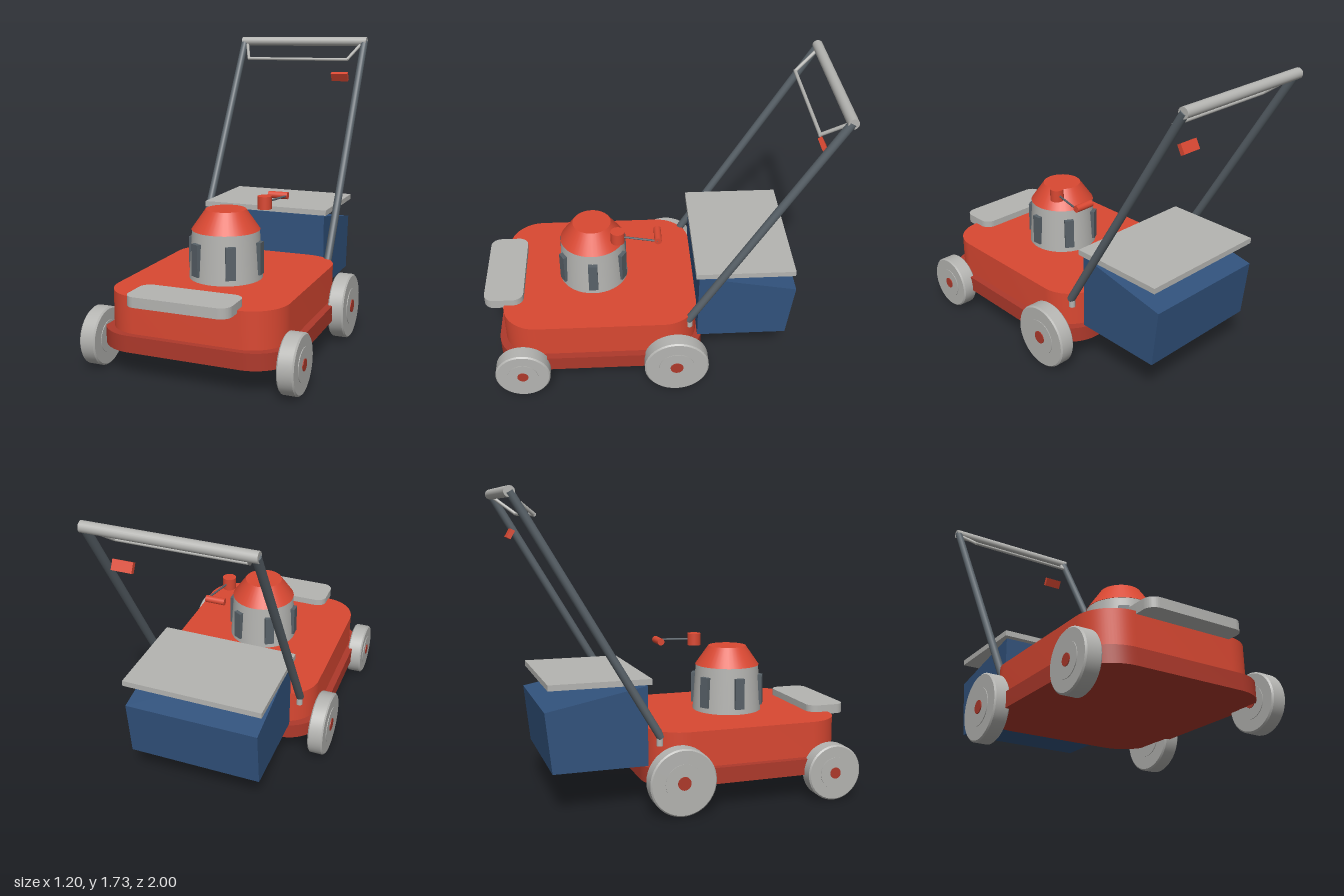
import * as THREE from 'three';
import { toCreasedNormals } from 'three/addons/utils/BufferGeometryUtils.js';

const mat = (name, color) => {
  const m = new THREE.MeshStandardMaterial({ color });
  m.name = name;
  return m;
};

export function createModel() {
  const red = mat('red paint', 0xd94832);
  const darkRed = mat('dark red paint', 0xae392b);
  const grey = mat('light grey', 0xb4b4b1);
  const steel = mat('dark steel', 0x586168);
  const blue = mat('blue fabric', 0x31527c);

  const model = new THREE.Group();
  model.name = 'lawnMower';

  const add = (name, geometry, material, x = 0, y = 0, z = 0, parent = model) => {
    const mesh = new THREE.Mesh(geometry, material);
    mesh.name = name;
    mesh.position.set(x, y, z);
    parent.add(mesh);
    return mesh;
  };

  // Horizontal slab with rounded corners, standing on y = 0
  const slab = (w, d, h, r) => {
    const s = new THREE.Shape();
    const x = w / 2, y = d / 2;
    s.moveTo(-x + r, -y);
    s.lineTo(x - r, -y);
    s.absarc(x - r, -y + r, r, -Math.PI / 2, 0);
    s.absarc(x - r, y - r, r, 0, Math.PI / 2);
    s.absarc(-x + r, y - r, r, Math.PI / 2, Math.PI);
    s.absarc(-x + r, -y + r, r, Math.PI, Math.PI * 1.5);
    const g = new THREE.ExtrudeGeometry(s, { depth: h, bevelEnabled: false, curveSegments: 10 });
    g.rotateX(-Math.PI / 2);
    return toCreasedNormals(g, 0.6);
  };

  // Straight round rod between two points
  const rod = (name, a, b, r, material, sides = 16) => {
    const p = new THREE.Vector3(...a), q = new THREE.Vector3(...b);
    const dir = q.clone().sub(p);
    const mesh = add(name, new THREE.CylinderGeometry(r, r, dir.length(), sides), material);
    mesh.position.copy(p).add(q).multiplyScalar(0.5);
    mesh.quaternion.setFromUnitVectors(new THREE.Vector3(0, 1, 0), dir.normalize());
    return mesh;
  };

  // Deck and skirt
  add('deckSkirt', slab(1.06, 1.2, 0.09, 0.22), darkRed, 0, 0.145, 0.32);
  add('deck', slab(0.98, 1.13, 0.205, 0.2), red, 0, 0.23, 0.32);
  add('frontPlate', slab(0.57, 0.23, 0.055, 0.06), grey, 0, 0.42, 0.885);

  // Engine: tapered housing, cooling vents and cap
  const engine = new THREE.Group();
  engine.name = 'engine';
  engine.position.z = 0.355;
  model.add(engine);
  add('engineHousing', new THREE.CylinderGeometry(0.187, 0.205, 0.275, 40), grey, 0, 0.5675, 0, engine);
  add('engineCap', new THREE.CylinderGeometry(0.112, 0.19, 0.112, 40), red, 0, 0.76, 0, engine);
  for (let i = 0; i < 6; i++) {
    const a = (i * Math.PI) / 3;
    const vent = add('coolingVent', new THREE.BoxGeometry(0.03, 0.18, 0.055), steel,
      Math.cos(a) * 0.199, 0.557, Math.sin(a) * 0.199, engine);
    vent.rotation.y = -a;
  }

  // Pull starter
  add('starterHousing', new THREE.CylinderGeometry(0.04, 0.04, 0.072, 24), red, 0.17, 0.836, 0.205);
  rod('starterCord', [0.17, 0.836, 0.205], [0.222, 0.836, -0.02], 0.006, steel, 8);
  rod('starterGrip', [0.11, 0.836, -0.024], [0.227, 0.836, -0.024], 0.021, red);

  // Wheels: chamfered tyre, raised disc and hub on both faces
  const wheel = (name, x, z, r) => {
    const g = new THREE.Group();
    g.name = name;
    g.position.set(x, r + 0.003, z);
    g.rotation.z = Math.PI / 2;
    model.add(g);
    const h = 0.045, c = 0.008;
    const profile = [[0, -h], [r - c, -h], [r, -h + c], [r, h - c], [r - c, h], [0, h]]
      .map(([px, py]) => new THREE.Vector2(px, py));
    add('tyre', toCreasedNormals(new THREE.LatheGeometry(profile, 40), 0.5), grey, 0, 0, 0, g);
    add('wheelDisc', new THREE.CylinderGeometry(r * 0.56, r * 0.56, 0.097, 32), grey, 0, 0, 0, g);
    add('hub', new THREE.CylinderGeometry(r * 0.2, r * 0.2, 0.106, 20), darkRed, 0, 0, 0, g);
  };
  for (const s of [1, -1]) {
    const side = s > 0 ? 'Left' : 'Right';
    wheel('front' + side + 'Wheel', s * 0.548, 0.775, 0.158);
    wheel('rear' + side + 'Wheel', s * 0.548, -0.115, 0.186);

    // Handle tube, its mount and the bail arm
    rod('handleTube' + side, [s * 0.42, 0.4, -0.19], [s * 0.42, 1.705, -0.966], 0.023, steel);
    add('handleMount' + side, new THREE.CylinderGeometry(0.018, 0.018, 0.06, 16), grey, s * 0.42, 0.385, -0.197);
    rod('bailArm' + side, [s * 0.4, 1.69, -0.96], [s * 0.34, 1.592, -0.834], 0.01, grey, 10);
  }
  rod('handleGrip', [-0.435, 1.705, -0.968], [0.435, 1.705, -0.968], 0.029, grey, 24);
  rod('bailBar', [-0.345, 1.592, -0.834], [0.345, 1.592, -0.834], 0.01, grey, 10);
  const lever = add('throttleLever', new THREE.BoxGeometry(0.11, 0.055, 0.025), red, 0.282, 1.48, -0.88);
  lever.rotation.x = 0.5;

  // Grass bag: side profile (-z, y) extruded across the width
  const side = new THREE.Shape([[0.25, 0.235], [0.775, 0.235], [0.812, 0.57], [0.25, 0.68]]
    .map(([a, b]) => new THREE.Vector2(a, b)));
  const bag = new THREE.ExtrudeGeometry(side, { depth: 0.756, bevelEnabled: false });
  bag.translate(0, 0, -0.378);
  bag.rotateY(Math.PI / 2);
  add('grassBag', bag, blue);
  add('bagLid', new THREE.BoxGeometry(0.79, 0.032, 0.565), grey, 0, 0.704, -0.513);

  return model;
}
